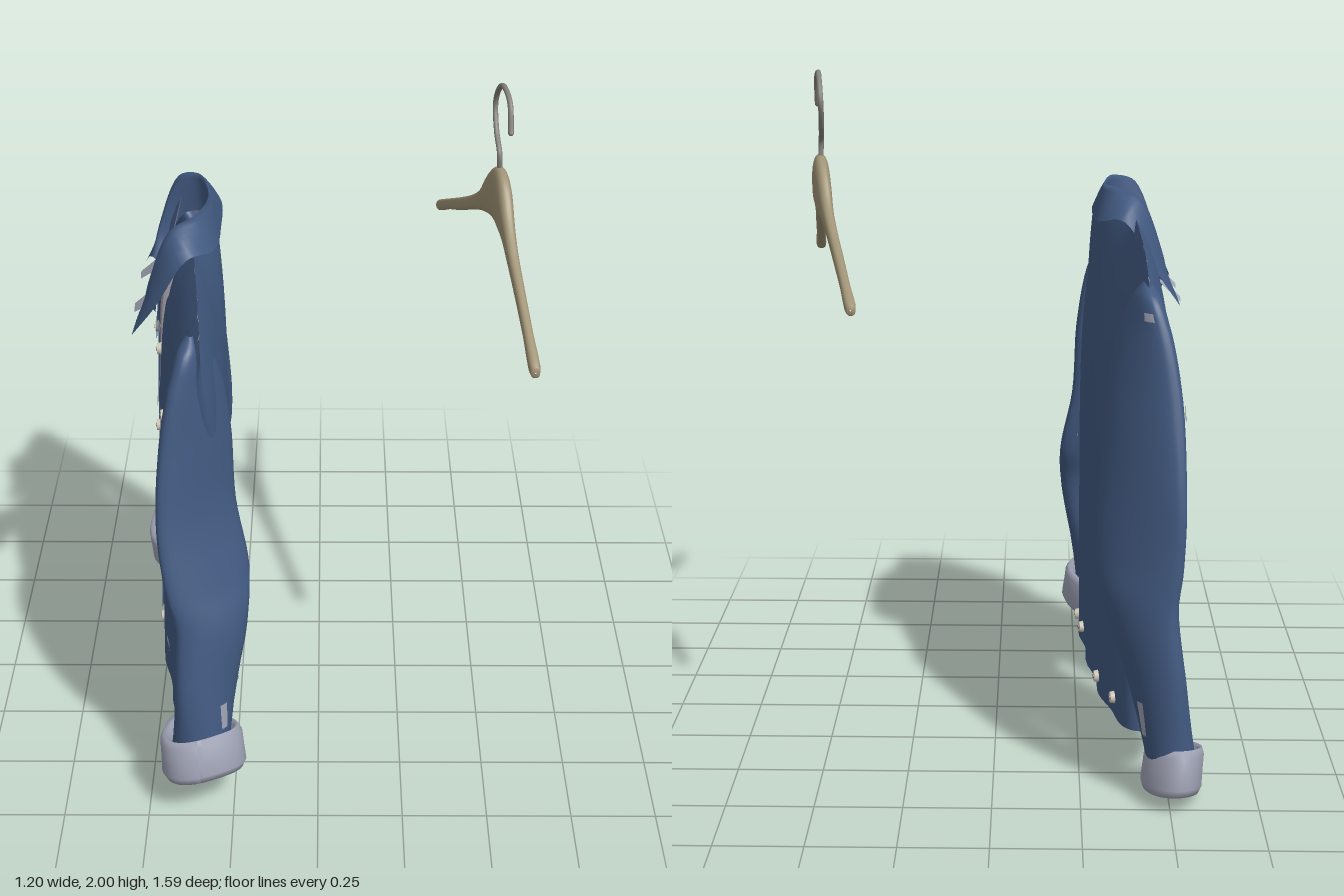
import * as THREE from 'three';
import { mergeVertices } from 'three/addons/utils/BufferGeometryUtils.js';

const mat = (name, color, side = THREE.FrontSide) => {
  const m = new THREE.MeshStandardMaterial({ color, side });
  m.name = name;
  return m;
};
const V = (x, y, z) => new THREE.Vector3(x, y, z);
const { clamp, lerp, smoothstep } = THREE.MathUtils;

// Surface from a function of u and v, both 0..1
function surface(nu, nv, fn, flip = false) {
  const pos = [], idx = [];
  for (let j = 0; j <= nv; j++)
    for (let i = 0; i <= nu; i++) pos.push(...fn(i / nu, j / nv).toArray());
  for (let j = 0; j < nv; j++)
    for (let i = 0; i < nu; i++) {
      const a = j * (nu + 1) + i, b = a + 1, c = a + nu + 1, d = c + 1;
      if (flip) idx.push(a, c, b, b, c, d);
      else idx.push(a, b, c, b, d, c);
    }
  let g = new THREE.BufferGeometry();
  g.setAttribute('position', new THREE.Float32BufferAttribute(pos, 3));
  g.setIndex(idx);
  g = mergeVertices(g, 1e-5);
  g.computeVertexNormals();
  return g;
}

// Piecewise linear lookup in [key, value] pairs
function ramp(pairs, k) {
  for (let i = 1; i < pairs.length; i++)
    if (k <= pairs[i][0]) {
      const [a, b] = [pairs[i - 1], pairs[i]];
      return lerp(a[1], b[1], clamp((k - a[0]) / (b[0] - a[0]), 0, 1));
    }
  return pairs[pairs.length - 1][1];
}

// Jacket body: an open loop around y, from hem to shoulder line
const HEM = 0.14;
const shoulder = [[0, 1.57], [0.12, 1.58], [0.2, 1.615], [0.33, 1.578], [0.42, 1.545], [0.48, 1.51], [0.52, 1.47], [0.55, 1.4]];
const neckline = [[0, 1.33], [0.1, 1.38], [0.2, 1.615]];
const topY = (z, front) => ramp(front && Math.abs(z) < 0.2 ? neckline : shoulder, Math.abs(z));
const halfWidth = (v) => 0.49 + 0.035 * (1 - smoothstep(v, 0, 0.4)) + 0.058 * smoothstep(v, 0.45, 0.95);
const spow = (s, p) => Math.sign(s) * Math.abs(s) ** p;

function bodyPoint(theta, v, inset = 0) {
  const c = Math.cos(theta), s = Math.sin(theta);
  const z = (halfWidth(v) - inset) * spow(s, 0.8);
  const w = smoothstep(Math.abs(z), 0.08, 0.24);
  const depth = (0.105 - inset) * (1 - (0.25 + 0.75 * w) * v ** (c > 0 ? 9 : 6));
  const fold = 0.006 * Math.sin(z * 24 + 1) * (1 - v);
  const x = -0.395 + 0.02 * v + 0.1 * z + fold - depth * spow(c, 0.6);
  return V(x, lerp(HEM, topY(z, c > 0), v), z);
}
// Point on the front or back panel at a given z and y
function onBody(z, y, front, lift = 0) {
  const v = clamp((y - HEM) / (topY(z, front) - HEM), 0, 1);
  const a = Math.asin(clamp(spow(z / halfWidth(v), 1.25), -1, 1));
  const p = bodyPoint(front ? a : Math.PI - a, v);
  p.x += front ? -lift : lift;
  return p;
}

// Sleeve rings: y, x centre, z centre, x radius, z radius
const leftSleeve = [
  [1.46, -0.35, 0.48, 0.01, 0.02], [1.42, -0.35, 0.485, 0.034, 0.065], [1.33, -0.345, 0.485, 0.052, 0.095],
  [1.15, -0.345, 0.503, 0.065, 0.105], [0.92, -0.345, 0.54, 0.062, 0.105], [0.72, -0.315, 0.58, 0.07, 0.103],
  [0.6, -0.305, 0.613, 0.08, 0.083], [0.4, -0.325, 0.64, 0.08, 0.085], [0.2, -0.345, 0.66, 0.085, 0.08]];
const rightSleeve = [
  [1.46, -0.425, -0.48, 0.01, 0.02], [1.42, -0.425, -0.5, 0.034, 0.075], [1.33, -0.42, -0.515, 0.052, 0.103],
  [1.15, -0.42, -0.555, 0.065, 0.112], [0.88, -0.415, -0.612, 0.06, 0.118], [0.7, -0.41, -0.637, 0.066, 0.108],
  [0.58, -0.41, -0.65, 0.072, 0.098], [0.35, -0.46, -0.67, 0.07, 0.09], [0.1, -0.51, -0.67, 0.07, 0.08]];

// Sleeve surface, its rings slanted so that the elbow points back and inward
function sleeveFn(rings, grow = 1) {
  const centre = new THREE.CatmullRomCurve3(rings.map((r) => V(r[1], r[0], r[2])));
  const radius = new THREE.CatmullRomCurve3(rings.map((r) => V(r[3], r[0], r[4])));
  const slant = -4.8 * Math.sign(rings[0][2]);
  return (u, v) => {
    const c = centre.getPoint(v), r = radius.getPoint(v), a = u * Math.PI * 2;
    const dz = grow * r.z * Math.sin(a);
    return V(c.x + grow * r.x * Math.cos(a) + slant * v ** 1.5 * (1 - v) * dz, c.y, c.z + dz);
  };
}

export function createModel() {
  const root = new THREE.Group();
  const denim = mat('denim', 0x425a81, THREE.DoubleSide);
  const pale = mat('pale denim', 0x9fa2b4, THREE.DoubleSide);
  const lining = mat('lining', 0xa5a1ac, THREE.DoubleSide);
  const wood = mat('wood', 0xa09376);
  const steel = mat('steel', 0x85827c);
  const metal = mat('button metal', 0xcfc8b8);
  const jacket = new THREE.Group();
  jacket.name = 'jacket';
  const hanger = new THREE.Group();
  hanger.name = 'hanger';
  root.add(jacket, hanger);
  const add = (group, name, geo, material) => {
    const m = new THREE.Mesh(geo, material);
    m.name = name;
    group.add(m);
    return m;
  };

  // Body shell, and its pale inside above the hem band
  const loop = (u) => lerp(0.02, Math.PI * 2 - 0.13, u);
  add(jacket, 'body', surface(110, 40, (u, v) => bodyPoint(loop(u), v)), denim);
  add(jacket, 'bodyLining', surface(110, 40, (u, v) => bodyPoint(loop(u), lerp(0.05, 1, v), 0.007), true), lining);

  // Sleeves with worn patches (u, v, width, height), and rolled cuffs
  const sleeves = [
    ['left', leftSleeve, V(-0.345, 0.185, 0.66), 0.122, 0.123, -0.24, 0.08, [[0.06, 0.9, 0.04, 0.05]]],
    ['right', rightSleeve, V(-0.515, 0.093, -0.662), 0.085, 0.12, 0.2, 0.1,
      [[0.93, 0.9, 0.04, 0.05], [0.8, 0.18, 0.07, 0.03], [0.62, 0.38, 0.04, 0.02]]]];
  for (const [side, rings, at, rx, rz, tilt, lean, patches] of sleeves) {
    add(jacket, side + 'Sleeve', surface(32, 48, sleeveFn(rings)), denim);
    const worn = sleeveFn(rings, 1.04);
    for (const [pu, pv, w, h] of patches)
      add(jacket, side + 'WornPatch', surface(4, 4, (u, v) => worn(pu + w * u, pv + h * v)), pale);
    const profile = [[0.72, 0.03], [0.8, 0.058], [0.9, 0.066], [0.99, 0.045], [1, 0], [1.02, -0.045],
      [0.93, -0.066], [0.8, -0.06], [0.72, -0.035], [0.7, 0], [0.72, 0.03]]
      .reverse().map(([r, y]) => new THREE.Vector2(r, y));
    const cuff = new THREE.Group();
    cuff.name = side + 'Cuff';
    const roll = new THREE.LatheGeometry(profile, 40);
    const p = roll.attributes.position;
    for (let i = 0; i < p.count; i++) {
      const a = Math.atan2(p.getZ(i), p.getX(i)), k = 1 + 0.05 * Math.sin(3 * a + 1);
      p.setXYZ(i, p.getX(i) * rx * k, p.getY(i) + 0.006 * Math.sin(2 * a), p.getZ(i) * rz * k);
    }
    roll.computeVertexNormals();
    add(cuff, 'cuffRoll', roll, pale);
    const inside = add(cuff, 'cuffInside', new THREE.CircleGeometry(0.75, 24).rotateX(Math.PI / 2), pale);
    inside.scale.set(rx, 1, rz);
    inside.position.y = -0.03;
    cuff.position.copy(at);
    cuff.rotation.set(tilt, 0, lean);
    jacket.add(cuff);
  }

  // Collar: stand, fold line and falling outer edge, mirrored about its middle
  const line = (half) => new THREE.CatmullRomCurve3([
    ...half.slice(1).reverse().map(([x, y, z]) => V(x, y, -z)), ...half.map((q) => V(...q))]);
  const stand = line([[-0.32, 1.55, 0], [-0.34, 1.56, 0.13], [-0.41, 1.53, 0.18], [-0.46, 1.43, 0.17], [-0.475, 1.36, 0.14]]);
  const fold = line([[-0.32, 1.665, 0], [-0.355, 1.67, 0.16], [-0.42, 1.645, 0.205], [-0.48, 1.5, 0.2], [-0.505, 1.4, 0.16]]);
  const fall = line([[-0.285, 1.57, 0], [-0.3, 1.58, 0.2], [-0.37, 1.59, 0.29], [-0.46, 1.45, 0.29], [-0.535, 1.34, 0.25]]);
  add(jacket, 'collar', surface(48, 10, (u, v) => {
    const [a, b, k] = v < 0.5 ? [stand, fold, v * 2] : [fold, fall, v * 2 - 1];
    const p = a.getPoint(u).lerp(b.getPoint(u), k);
    p.y += 0.008 * Math.sin(k * Math.PI);
    return p;
  }), denim);

  // Lapel corners turned outward below the collar
  for (const s of [1, -1])
    add(jacket, 'turnedLapel', surface(5, 5, (u, v) => V(
      lerp(-0.455, -0.54, v),
      1.42 - 0.08 * v + 0.012 * Math.sin(u * Math.PI),
      s * lerp(s > 0 ? 0.04 : 0.06 + 0.07 * v, 0.18 - 0.08 * v * (s + 1) / 2, u))), pale);

  // Plates lying on the body: pocket flaps and worn spots
  const plate = (name, z, y, w, h, front, material, point = 0) =>
    add(jacket, name, surface(8, 4, (u, v) => {
      const dip = point * (1 - Math.abs(2 * u - 1)) * (1 - v);
      return onBody(z + (u - 0.5) * w, y + (v - 0.5) * h - dip, front, 0.006);
    }), material);
  for (const s of [1, -1]) plate('pocketFlap', s * 0.29, 1.14, 0.2, 0.07, true, denim, 0.03);
  const spots = [[-0.41, 1.255, 0.024, 0.014, false], [-0.355, 0.805, 0.016, 0.012, false],
    [0.32, 0.81, 0.012, 0.01, false], [-0.39, 1.15, 0.04, 0.02, true], [-0.2, 1.15, 0.03, 0.03, true],
    [0.2, 1.16, 0.05, 0.02, true], [0.36, 1.17, 0.04, 0.025, true], [-0.34, 0.18, 0.05, 0.025, true],
    [0.27, 0.28, 0.06, 0.02, true], [-0.13, 0.34, 0.025, 0.03, true], [-0.16, 0.9, 0.025, 0.03, true]];
  for (const [z, y, w, h, front] of spots) plate('wornSpot', z, y, w, h, front, pale);

  // Metal buttons
  const button = (z, y, front) => {
    const b = new THREE.Group();
    b.name = 'button';
    const disc = (r, h, m, n) => { add(b, n, new THREE.CylinderGeometry(r * 0.85, r, h, 16), m); };
    disc(0.019, 0.014, metal, 'buttonRim');
    disc(0.007, 0.02, steel, 'buttonCentre');
    b.position.copy(onBody(z, y, front, 0.006));
    const du = onBody(z + 0.01, y, front).sub(onBody(z - 0.01, y, front));
    const n = V(0, 1, 0).cross(du).normalize();
    if (front === n.x > 0) n.negate();
    b.quaternion.setFromUnitVectors(V(0, 1, 0), n);
    jacket.add(b);
  };
  for (const z of [0.33, 0.205, -0.23, -0.4]) button(z, 0.195, false);
  for (const y of [1.2, 0.94, 0.73, 0.5, 0.24]) button(0.06, y, true);
  for (const z of [0.29, -0.29]) button(z, 1.1, true);

  // Hanger arms: rounded sections from tip to tip; z, x, bottom y, top y, half thickness
  const bar = [
    [-0.592, 0.388, 1.388, 1.392, 0.002], [-0.588, 0.388, 1.375, 1.405, 0.013], [-0.48, 0.413, 1.42, 1.457, 0.014],
    [-0.36, 0.441, 1.468, 1.512, 0.015], [-0.24, 0.471, 1.522, 1.572, 0.016], [-0.16, 0.491, 1.553, 1.626, 0.018],
    [-0.09, 0.508, 1.572, 1.705, 0.023], [-0.02, 0.523, 1.58, 1.75, 0.026], [0.05, 0.532, 1.577, 1.728, 0.025],
    [0.12, 0.541, 1.565, 1.65, 0.02], [0.2, 0.549, 1.538, 1.592, 0.017], [0.32, 0.563, 1.484, 1.529, 0.015],
    [0.45, 0.577, 1.427, 1.466, 0.014], [0.571, 0.59, 1.373, 1.405, 0.013], [0.575, 0.59, 1.387, 1.391, 0.002]];
  const spine = new THREE.CatmullRomCurve3(bar.map(([z, x, lo, hi]) => V(x, (lo + hi) / 2, z)));
  const girth = new THREE.CatmullRomCurve3(bar.map(([z, , lo, hi, r]) => V(r, (hi - lo) / 2, z)));
  add(hanger, 'hangerArms', surface(24, (bar.length - 1) * 4, (u, v) => {
    const c = spine.getPoint(v), g = girth.getPoint(v), a = u * Math.PI * 2;
    return V(c.x + g.x * spow(Math.cos(a), 0.8), c.y + g.y * spow(Math.sin(a), 0.8), c.z);
  }), wood);

  // Hanger hook
  const hook = new THREE.CatmullRomCurve3([
    V(0.523, 1.73, -0.02), V(0.52, 1.79, -0.02), V(0.513, 1.84, -0.075), V(0.51, 1.91, -0.11),
    V(0.516, 1.965, -0.08), V(0.525, 1.991, -0.02), V(0.537, 1.965, 0.045), V(0.54, 1.89, 0.08)]);
  add(hanger, 'hook', new THREE.TubeGeometry(hook, 60, 0.008, 10), steel);
  const tip = add(hanger, 'hookTip', new THREE.SphereGeometry(0.008, 10, 8), steel);
  tip.position.set(0.54, 1.89, 0.08);

  return root;
}
